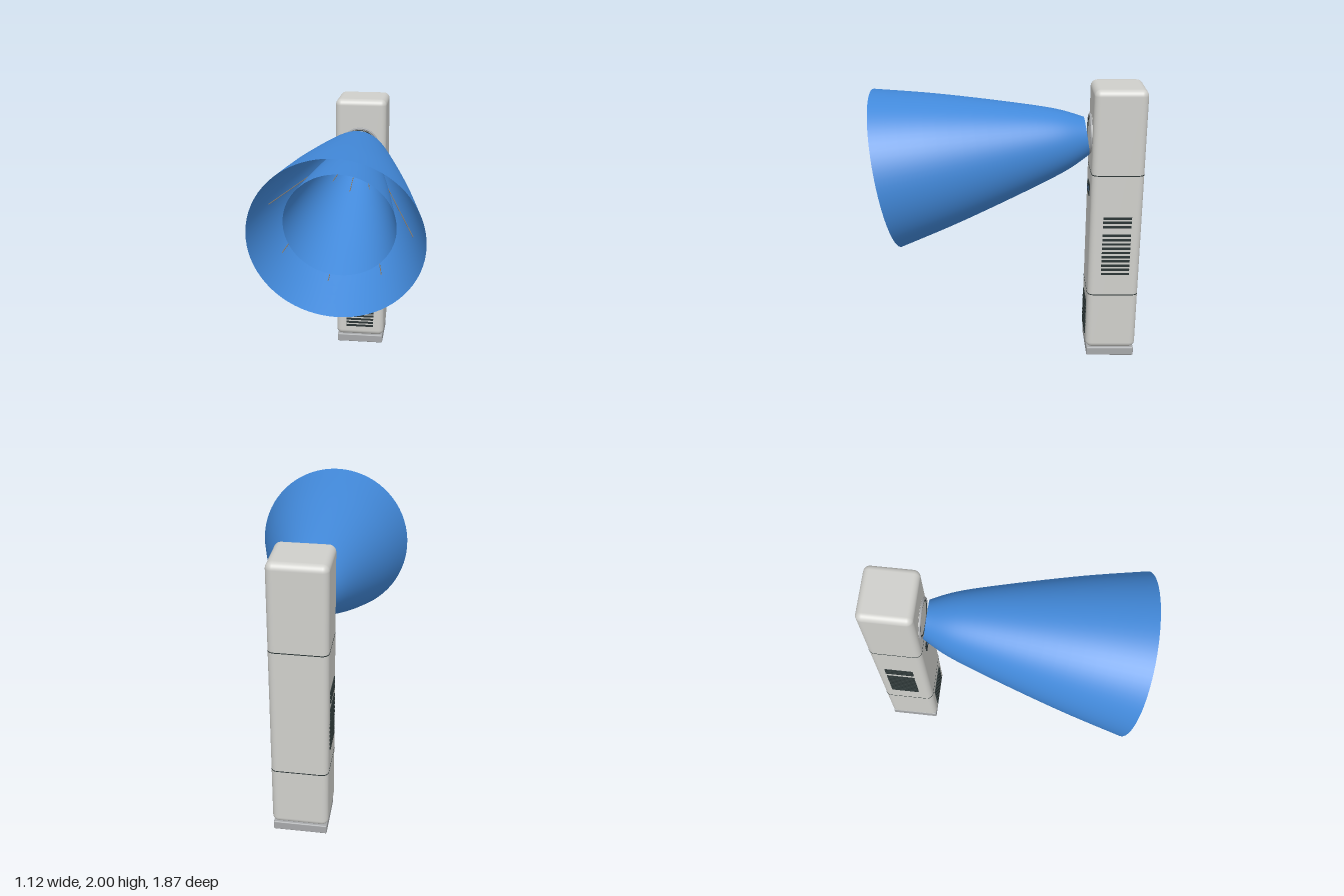
import * as THREE from 'three';
import { RoundedBoxGeometry } from 'three/addons/geometries/RoundedBoxGeometry.js';

const paint = (name, color, side = THREE.FrontSide) => {
  const m = new THREE.MeshStandardMaterial({ color, side });
  m.name = name;
  return m;
};

export function createModel() {
  const shell = paint('shell grey', 0xcfcfcb);
  const footGrey = paint('foot grey', 0xa6a8aa);
  const dark = paint('vent dark', 0x2a3434);
  const blue = paint('cone blue', 0x4289da, THREE.DoubleSide);
  const tan = paint('wire tan', 0x8a7a68);
  const screenBlue = paint('screen blue', 0x4a6f9c);

  const model = new THREE.Group();
  const add = (parent, name, geometry, material, x = 0, y = 0, z = 0) => {
    const mesh = new THREE.Mesh(geometry, material);
    mesh.name = name;
    mesh.position.set(x, y, z);
    parent.add(mesh);
    return mesh;
  };

  // Tower and foot
  const W = 0.382, D = 0.362, Z = -0.752, front = Z + D / 2;
  add(model, 'tower', new RoundedBoxGeometry(W, 1.935, D, 5, 0.045), shell, 0, 1.0325, Z);
  add(model, 'foot', new RoundedBoxGeometry(0.366, 0.065, 0.346, 2, 0.008), footGrey, 0, 0.0325, Z);

  // Seams around the tower, following its rounded corners
  const r = 0.045, hw = W / 2 + 0.001, hd = D / 2 + 0.001;
  const outline = new THREE.Shape();
  outline.absarc(hw - r, hd - r, r, 0, Math.PI / 2);
  outline.absarc(-hw + r, hd - r, r, Math.PI / 2, Math.PI);
  outline.absarc(-hw + r, -hd + r, r, Math.PI, Math.PI * 1.5);
  outline.absarc(hw - r, -hd + r, r, Math.PI * 1.5, Math.PI * 2);
  const seamGeometry = new THREE.ExtrudeGeometry(outline, { depth: 0.006, bevelEnabled: false, curveSegments: 6 });
  for (const y of [0.505, 1.408]) {
    add(model, 'seam', seamGeometry, dark, 0, y - 0.003, Z).rotation.x = -Math.PI / 2;
  }

  // Front vent slats
  for (let i = 0; i < 10; i++) {
    add(model, 'frontVentSlat', new THREE.BoxGeometry(0.22, 0.015, 0.009), dark, 0, 0.154 + i * 0.0282, front + 0.002);
  }
  // Side vent slats, in two banks with a gap between
  for (const side of [-1, 1]) {
    for (let i = 0; i < 14; i++) {
      if (i === 10) continue;
      add(model, 'sideVentSlat', new THREE.BoxGeometry(0.009, 0.016, 0.2), dark, side * (W / 2 + 0.002), 0.673 + i * 0.0328, -0.76);
    }
  }

  // Small display under the horn
  add(model, 'displayFrame', new THREE.BoxGeometry(0.13, 0.085, 0.008), dark, 0, 1.262, front + 0.003);
  add(model, 'displayScreen', new THREE.BoxGeometry(0.07, 0.035, 0.004), screenBlue, 0, 1.262, front + 0.007);

  // Round lens plate and ring where the horn meets the tower
  add(model, 'lensPlate', new THREE.CylinderGeometry(0.135, 0.135, 0.012, 48), shell, 0, 1.655, front + 0.004).rotation.x = Math.PI / 2;
  add(model, 'lensRing', new THREE.TorusGeometry(0.133, 0.008, 10, 48), footGrey, 0, 1.655, front + 0.009);
  add(model, 'lensGroove', new THREE.TorusGeometry(0.119, 0.004, 8, 48), dark, 0, 1.655, front + 0.011);

  // Flared horn tilted ten degrees down: outer and inner cones
  const horn = new THREE.Group();
  horn.name = 'horn';
  horn.position.set(0, 1.64, -0.542);
  horn.rotation.x = THREE.MathUtils.degToRad(99.8);
  model.add(horn);
  const curve = new THREE.SplineCurve([
    [0.131, 0], [0.217, 0.18], [0.32, 0.5], [0.457, 0.98], [0.56, 1.402],
  ].map(([x, y]) => new THREE.Vector2(x, y)));
  const profile = curve.getPoints(24);
  const cone = (radial, length) => new THREE.LatheGeometry(
    profile.map((p) => new THREE.Vector2(p.x * radial, p.y * length)), 72);
  add(horn, 'outerCone', cone(1, 1), blue);
  add(horn, 'innerCone', cone(0.65, 0.86), blue);

  // Fine wires fanning out from the neck
  for (let i = 0; i < 8; i++) {
    const a = THREE.MathUtils.degToRad(-12 + i * 45);
    const at = (radius, s) => new THREE.Vector3(Math.cos(a) * radius, s, -Math.sin(a) * radius);
    const wire = new THREE.LineCurve3(at(0.075, 0.03), at(0.475, 1.13));
    add(horn, 'wire', new THREE.TubeGeometry(wire, 1, 0.003, 5), tan);
  }
  return model;
}
